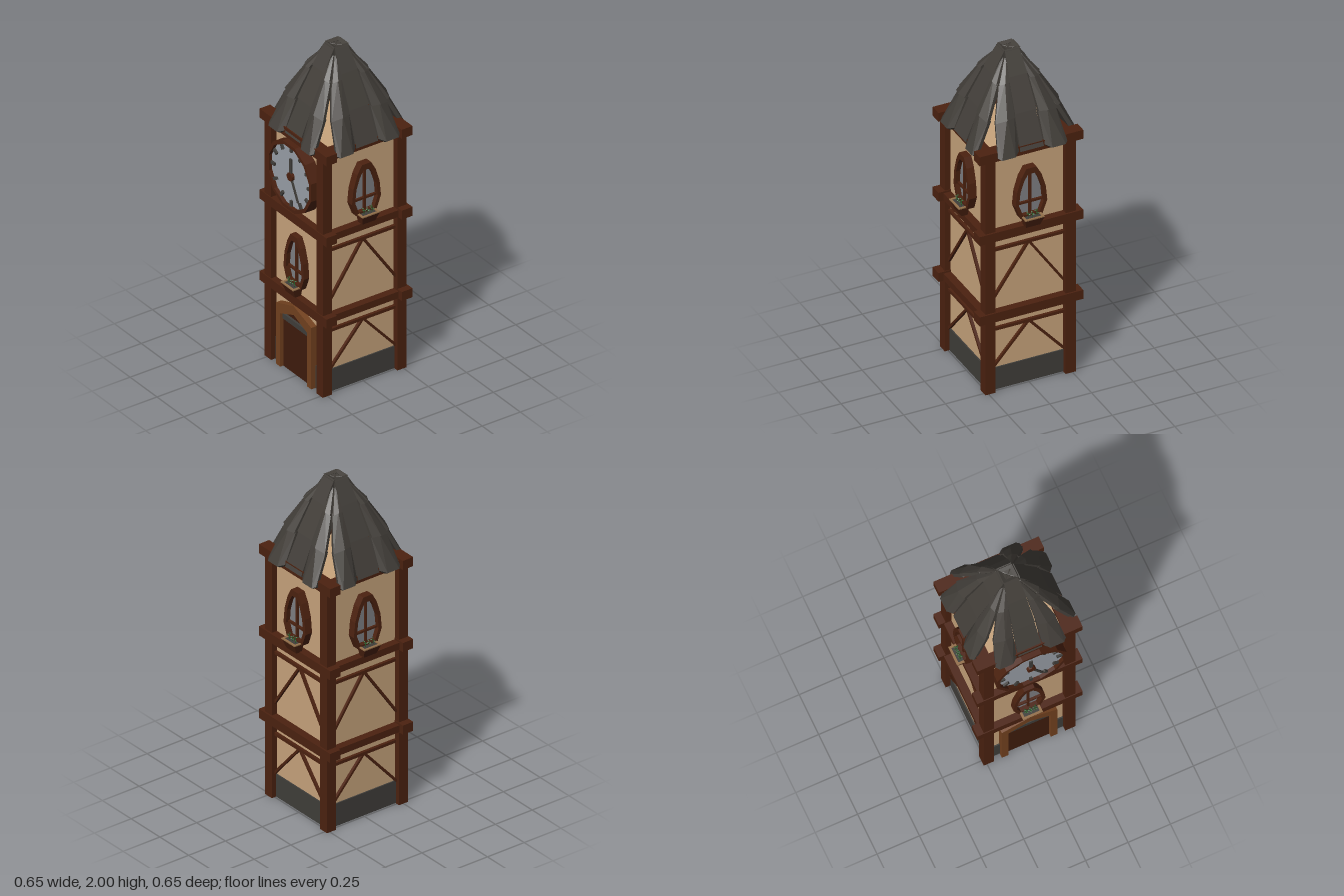
import * as THREE from 'three';
import { ConvexGeometry } from 'three/addons/geometries/ConvexGeometry.js';

const mat = (name, color) => new THREE.MeshStandardMaterial({ name, color, flatShading: true });

export function createModel() {
  const M = {
    plaster: mat('plaster', 0xc8a47c), timber: mat('dark timber', 0x4c2210),
    slate: mat('roof slate', 0x423e39), stone: mat('dark stone', 0x403e3a),
    glass: mat('window glass', 0x7f8084), dial: mat('clock dial', 0x9aa0a8),
    frame: mat('door frame wood', 0x73421f), door: mat('door wood', 0x3f1c0d),
    rim: mat('planter rim wood', 0x94704a), leaf: mat('leaf green', 0x2c5a2a),
  };
  const tower = new THREE.Group();
  tower.name = 'clockTower';

  const add = (parent, name, geo, material, x = 0, y = 0, z = 0) => {
    const m = new THREE.Mesh(geo, material);
    m.name = name;
    m.position.set(x, y, z);
    parent.add(m);
    return m;
  };
  const box = (parent, name, material, w, h, d, x, y, z) =>
    add(parent, name, new THREE.BoxGeometry(w, h, d), material, x, y, z);
  const group = (parent, name, y = 0, z = 0) => {
    const g = new THREE.Group();
    g.name = name;
    g.position.set(0, y, z);
    parent.add(g);
    return g;
  };
  // Straight bar between two points of a wall plane
  const bar = (parent, name, material, a, b, w, d, z) => {
    const dx = b[0] - a[0], dy = b[1] - a[1];
    const m = box(parent, name, material, w, Math.hypot(dx, dy), d, (a[0] + b[0]) / 2, (a[1] + b[1]) / 2, z);
    m.rotation.z = -Math.atan2(dx, dy);
    return m;
  };
  const shapeOf = (pts) => new THREE.Shape(pts.map(([x, y]) => new THREE.Vector2(x, y)));
  const mirrored = (half) => [...half, ...half.slice().reverse().map(([x, y]) => [-x, y])];
  const ring = (outer, inner, depth) => {
    const s = shapeOf(outer);
    s.holes.push(shapeOf(inner));
    return new THREE.ExtrudeGeometry(s, { depth, bevelEnabled: false });
  };
  const plate = (pts, depth) => new THREE.ExtrudeGeometry(shapeOf(pts), { depth, bevelEnabled: false });

  // Walls and stone footing
  box(tower, 'walls', M.plaster, 0.47, 1.49, 0.48, 0, 0.746, 0.005);
  box(tower, 'stoneFooting', M.stone, 0.485, 0.138, 0.495, 0, 0.071, 0.005);

  // Corner posts and floor beams
  for (const x of [-0.24, 0.24])
    for (const z of [-0.24, 0.25]) box(tower, 'cornerPost', M.timber, 0.06, 1.49, 0.06, x, 0.745, z);
  for (const y of [0.483, 0.993, 1.5]) {
    for (const z of [-0.245, 0.25]) box(tower, 'crossBeam', M.timber, 0.62, 0.056, 0.07, 0, y, z);
    for (const x of [-0.245, 0.245]) box(tower, 'sideBeam', M.timber, 0.07, 0.042, 0.44, x, y - 0.004, 0);
  }

  // Planter with tapered sides, soil and seedlings
  function planter(parent, y) {
    const g = group(parent, 'planter', y, 0.293);
    const geo = new THREE.BoxGeometry(0.114, 0.055, 0.06);
    const p = geo.attributes.position;
    for (let i = 0; i < p.count; i++) {
      if (p.getY(i) > 0) continue;
      p.setX(i, p.getX(i) * 0.75);
      if (p.getZ(i) > 0) p.setZ(i, 0.008);
    }
    geo.computeVertexNormals();
    add(g, 'planterBox', geo, M.timber, 0, 0.0275, 0);
    const rect = (w, d) => [[-w, -d], [w, -d], [w, d], [-w, d]];
    add(g, 'planterRim', ring(rect(0.058, 0.032), rect(0.045, 0.019), 0.006), M.rim, 0, 0.055, 0)
      .rotation.x = -Math.PI / 2;
    box(g, 'soil', M.stone, 0.09, 0.003, 0.038, 0, 0.056, 0);
    for (const x of [-0.026, 0, 0.026]) {
      const h = 0.026 + 0.3 * Math.abs(x);
      box(g, 'stem', M.leaf, 0.003, h, 0.003, x, 0.055 + h / 2, 0);
      for (let k = 0; k < 4; k++) {
        const a = k * Math.PI / 2 + x * 20;
        const leaf = add(g, 'leaf', new THREE.OctahedronGeometry(0.008), M.leaf,
          x + 0.008 * Math.cos(a), 0.058 + h * (0.5 + 0.15 * k), 0.008 * Math.sin(a));
        leaf.scale.set(1, 0.5, 0.7);
        leaf.rotation.y = -a;
      }
    }
  }

  // Pointed window with mullions and a planter on its sill
  const winOuter = mirrored([[0.065, 0], [0.095, 0.08], [0.086, 0.17], [0.06, 0.255], [0.03, 0.308]]);
  const winInner = mirrored([[0.05, 0.018], [0.074, 0.083], [0.066, 0.165], [0.044, 0.232], [0.02, 0.272]]);
  function archWindow(parent, y) {
    const g = group(parent, 'window', y);
    add(g, 'windowFrame', ring(winOuter, winInner, 0.047), M.timber, 0, 0, 0.233);
    add(g, 'windowGlass', plate(winInner, 0.008), M.glass, 0, 0, 0.245);
    box(g, 'mullion', M.timber, 0.012, 0.26, 0.014, 0, 0.147, 0.26);
    box(g, 'transom', M.timber, 0.145, 0.012, 0.014, 0, 0.088, 0.26);
    planter(g, -0.05);
  }

  // Four facades, each built facing +z and then turned
  ['front', 'left', 'back', 'right'].forEach((name, i) => {
    const side = group(tower, name + 'Facade');
    side.rotation.y = i * Math.PI / 2;
    archWindow(side, i === 0 ? 0.572 : 1.067);
    if (i === 0) return;
    for (const [top, bottom] of [[0.39, 0.14], [0.893, 0.57]]) {
      box(side, 'rail', M.timber, 0.43, 0.018, 0.02, 0, top, 0.242);
      for (const s of [-1, 1]) bar(side, 'brace', M.timber, [0, top], [s * 0.222, bottom], 0.014, 0.018, 0.242);
    }
  });

  // Doorway
  const doorway = group(tower, 'doorway');
  add(doorway, 'doorFrame', plate([
    [0.163, 0], [0.163, 0.385], [0, 0.44], [-0.163, 0.385], [-0.163, 0],
    [-0.125, 0], [-0.125, 0.335], [0, 0.385], [0.125, 0.335], [0.125, 0]], 0.045), M.frame, 0, 0, 0.235);
  add(doorway, 'doorHead', plate([[-0.125, 0.3], [0.125, 0.3], [0.125, 0.335], [0, 0.385], [-0.125, 0.335]], 0.01),
    M.door, 0, 0, 0.245);
  box(doorway, 'doorLeaf', M.door, 0.25, 0.302, 0.02, 0, 0.151, 0.25);
  box(doorway, 'doorLintel', M.stone, 0.245, 0.032, 0.025, 0, 0.318, 0.256);

  // Clock: twelve-sided rim, dial, hour marks, hands and hub
  const clock = group(tower, 'clock', 1.26, 0.235);
  const poly = (r) => Array.from({ length: 12 }, (_, k) => {
    const a = (k + 0.5) * Math.PI / 6;
    return [r * Math.cos(a), r * Math.sin(a)];
  });
  add(clock, 'clockRim', ring(poly(0.212), poly(0.192), 0.077), M.timber);
  add(clock, 'clockDial', plate(poly(0.194), 0.055), M.dial);
  for (let k = 0; k < 12; k++) {
    const a = k * Math.PI / 6, c = Math.cos(a), s = Math.sin(a);
    bar(clock, 'hourMark', M.stone, [0.152 * c, 0.152 * s], [0.188 * c, 0.188 * s], 0.017, 0.014, 0.06);
  }
  bar(clock, 'hourHand', M.stone, [0, 0], [0, 0.11], 0.018, 0.008, 0.064);
  bar(clock, 'minuteHand', M.stone, [0, 0], [0.068, -0.135], 0.012, 0.008, 0.064);
  add(clock, 'clockHub', new THREE.CylinderGeometry(0.025, 0.025, 0.02, 10), M.timber, 0, 0, 0.064)
    .rotation.x = Math.PI / 2;

  // Roof: overlapping slate slabs running from eaves to peak
  const roof = group(tower, 'roof');
  function slateStrip(parent, name, rows, mirror) {
    for (let i = 0; i < rows.length - 1; i++) {
      const lift = i ? 0.011 : 0;
      const top = [
        ...rows[i].map(([x, y, z]) => [x * (1 + lift * 3), y - lift * 0.6, z + lift]),
        ...rows[i + 1]];
      const pts = [];
      for (const [x, y, z] of top) {
        pts.push(new THREE.Vector3(x * mirror, y, z));
        pts.push(new THREE.Vector3(x * mirror * 0.98, y - 0.01, z - 0.018));
      }
      add(parent, name, new ConvexGeometry(pts), M.slate);
    }
  }
  const centreRows = [[0.07, 1.5, 0.29], [0.062, 1.7, 0.2], [0.053, 1.88, 0.11], [0.042, 2, 0.042], [0.002, 1.985, 0.004]]
    .map(([x, y, z]) => [[-x, y, z], [x, y, z]]);
  const cornerRows = [
    [[0.077, 1.505, 0.285], [0.11, 1.49, 0.312], [0.19, 1.49, 0.312], [0.207, 1.5, 0.295]],
    [[0.07, 1.69, 0.215], [0.12, 1.69, 0.228], [0.18, 1.675, 0.208]],
    [[0.058, 1.86, 0.128], [0.085, 1.86, 0.132], [0.115, 1.85, 0.12]],
    [[0.036, 1.965, 0.052], [0.05, 1.955, 0.055]],
  ];
  for (let i = 0; i < 4; i++) {
    const side = group(roof, 'roofSide');
    side.rotation.y = i * Math.PI / 2;
    slateStrip(side, 'centreSlate', centreRows, 1);
    for (const s of [-1, 1]) slateStrip(side, 'cornerSlate', cornerRows, s);
  }
  return tower;
}
